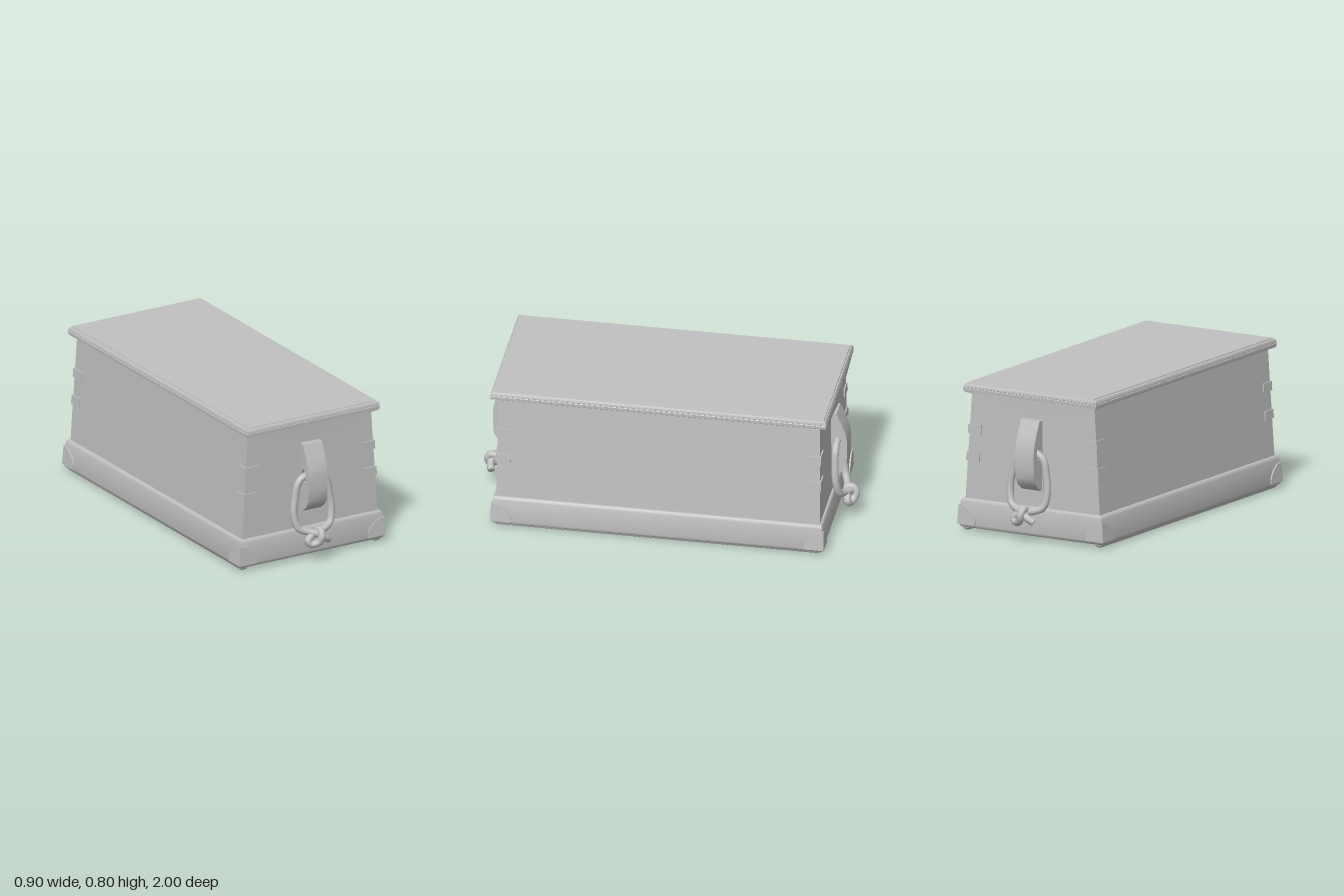
import * as THREE from 'three';
import { toCreasedNormals } from 'three/addons/utils/BufferGeometryUtils.js';

const grey = new THREE.MeshStandardMaterial({ color: 0xc0c0c0 });
grey.name = 'plain grey';

function add(parent, name, geometry) {
  const mesh = new THREE.Mesh(geometry, grey);
  mesh.name = name;
  parent.add(mesh);
  return mesh;
}

// Stack of rectangles [y, half width, half depth], capped at both ends
function loft(sections) {
  const pos = [];
  const corners = ([y, x, z]) => [[-x, y, z], [x, y, z], [x, y, -z], [-x, y, -z]];
  const quad = (a, b, c, d) => pos.push(...a, ...b, ...c, ...a, ...c, ...d);
  for (let i = 0; i < sections.length - 1; i++) {
    const lo = corners(sections[i]), hi = corners(sections[i + 1]);
    for (let k = 0; k < 4; k++) {
      const n = (k + 1) % 4;
      quad(lo[k], lo[n], hi[n], hi[k]);
    }
  }
  const b = corners(sections[0]), t = corners(sections[sections.length - 1]);
  quad(b[3], b[2], b[1], b[0]);
  quad(t[0], t[1], t[2], t[3]);
  const geo = new THREE.BufferGeometry();
  geo.setAttribute('position', new THREE.Float32BufferAttribute(pos, 3));
  geo.computeVertexNormals();
  return toCreasedNormals(geo, 0.6);
}

const shapeOf = (pts) => new THREE.Shape(pts.map(([x, y]) => new THREE.Vector2(x, y)));

// Mirror a non-indexed geometry, keeping its faces turned outward
function mirrored(geometry, sx, sz) {
  const geo = geometry.clone();
  const p = geo.attributes.position;
  for (let i = 0; i < p.count; i++) p.setXYZ(i, p.getX(i) * sx, p.getY(i), p.getZ(i) * sz);
  if (sx * sz < 0) {
    const a = new THREE.Vector3(), b = new THREE.Vector3();
    for (let i = 0; i < p.count; i += 3) {
      a.fromBufferAttribute(p, i + 1);
      b.fromBufferAttribute(p, i + 2);
      p.setXYZ(i + 1, b.x, b.y, b.z);
      p.setXYZ(i + 2, a.x, a.y, a.z);
    }
  }
  geo.computeVertexNormals();
  return geo;
}

// Thin plates folded round all four corners; outline is [distance from corner, y]
function cornerPlates(parent, name, outline, halfX, halfZ, lift) {
  const options = { depth: 0.0095, bevelEnabled: false };
  const end = new THREE.ExtrudeGeometry(shapeOf(outline.map(([u, y]) => [-u, y])), options);
  const side = new THREE.ExtrudeGeometry(shapeOf(outline), options);
  const ep = end.attributes.position, sp = side.attributes.position;
  for (let i = 0; i < ep.count; i++) {
    const y = ep.getY(i);
    ep.setXYZ(i, halfX(y) + lift + ep.getX(i), y, halfZ(y) + lift + ep.getZ(i) - options.depth);
  }
  for (let i = 0; i < sp.count; i++) {
    const y = sp.getY(i);
    sp.setXYZ(i, halfX(y) + lift + sp.getZ(i) - options.depth, y, halfZ(y) + lift - sp.getX(i));
  }
  for (const sx of [1, -1]) for (const sz of [1, -1]) {
    add(parent, name + 'End', mirrored(end, sx, sz));
    add(parent, name + 'Side', mirrored(side, sx, sz));
  }
}

function makeHandle() {
  const handle = new THREE.Group();
  handle.name = 'ropeHandle';

  // Wooden cleat, drawn as (z, y) and extruded across the width
  const profile = shapeOf([[0.85, 0.265], [0.875, 0.265], [0.915, 0.295], [0.937, 0.335], [0.942, 0.40],
    [0.942, 0.47], [0.935, 0.515], [0.915, 0.57], [0.885, 0.64], [0.85, 0.64]]);
  const hole = new THREE.Path();
  hole.absellipse(0.889, 0.465, 0.022, 0.036, 0, Math.PI * 2, true, 0);
  profile.holes.push(hole);
  const cleat = new THREE.ExtrudeGeometry(profile, { depth: 0.115, bevelEnabled: false, curveSegments: 8 });
  cleat.rotateY(-Math.PI / 2).translate(0.0575, 0, 0);
  add(handle, 'cleat', toCreasedNormals(cleat, 0.7));

  // Rope loop with its knot in one strand
  const path = [
    [0.062, 0.109, 0.95], [0.03, 0.129, 0.96], [-0.005, 0.152, 0.952], [-0.05, 0.163, 0.925],
    [-0.098, 0.185, 0.908], [-0.119, 0.26, 0.893], [-0.108, 0.35, 0.886], [-0.088, 0.43, 0.885],
    [-0.05, 0.46, 0.885], [0.05, 0.46, 0.885], [0.083, 0.43, 0.885], [0.1, 0.35, 0.886],
    [0.11, 0.26, 0.893], [0.092, 0.185, 0.908], [0.045, 0.163, 0.925], [0, 0.152, 0.928],
    [-0.045, 0.14, 0.94], [-0.064, 0.118, 0.945], [-0.045, 0.1, 0.952], [-0.01, 0.115, 0.972],
    [0, 0.145, 0.981], [0.004, 0.172, 0.962], [0.004, 0.168, 0.925],
  ].map((p) => new THREE.Vector3(...p));
  const curve = new THREE.CatmullRomCurve3(path);
  add(handle, 'rope', new THREE.TubeGeometry(curve, 130, 0.0195, 10));

  // Flat cut ends of the strand
  for (const t of [0, 1]) {
    const cut = add(handle, 'ropeEnd', new THREE.CircleGeometry(0.0195, 10));
    const outward = curve.getTangentAt(t).multiplyScalar(t ? 1 : -1);
    cut.position.copy(curve.getPointAt(t));
    cut.quaternion.setFromUnitVectors(new THREE.Vector3(0, 0, 1), outward);
  }
  return handle;
}

export function createModel() {
  const chest = new THREE.Group();
  chest.name = 'chest';

  // Tapered box
  const bodyX = (y) => 0.415 - (y - 0.17) * 0.064;
  const bodyZ = (y) => 0.86 - (y - 0.17) * 0.01;
  add(chest, 'body', loft([[0.15, bodyX(0.15), bodyZ(0.15)], [0.76, bodyX(0.76), bodyZ(0.76)]]));

  // Skirt round the foot of the box, with a shallow recess underneath
  const baseX = (y) => 0.444 - (y - 0.03) * 0.07;
  const baseZ = (y) => 0.88 - (y - 0.03) * 0.03;
  add(chest, 'baseSkirt', loft([[0.034, 0.4, 0.838], [0.02, 0.404, 0.842], [0.017, 0.41, 0.848],
    [0.017, 0.434, 0.87], [0.024, 0.441, 0.877], [0.036, baseX(0.036), baseZ(0.036)],
    [0.155, baseX(0.155), baseZ(0.155)], [0.166, 0.431, 0.873], [0.172, 0.424, 0.868]]));

  // Runners under the long sides
  for (const s of [1, -1]) {
    const runner = loft([[0, 0.01, 0.855], [0.004, 0.015, 0.862], [0.01, 0.018, 0.865], [0.03, 0.019, 0.866]]);
    add(chest, 'runner', runner).position.x = s * 0.408;
  }

  // Lid: rounded rim below a rounded top board
  add(chest, 'lidRim', loft([[0.745, 0.402, 0.884], [0.75, 0.409, 0.891], [0.766, 0.41, 0.892],
    [0.769, 0.407, 0.889]]));
  add(chest, 'lidTop', loft([[0.768, 0.406, 0.888], [0.771, 0.409, 0.892], [0.783, 0.408, 0.891],
    [0.79, 0.403, 0.886], [0.791, 0.392, 0.88], [0.797, 0.39, 0.878]]));

  // Pointed trim under the lid, at both ends
  const trim = new THREE.ExtrudeGeometry(shapeOf([[-0.405, 0.76], [-0.405, 0.747], [-0.2, 0.714],
    [-0.03, 0.687], [0, 0.684], [0.03, 0.687], [0.2, 0.714], [0.405, 0.747], [0.405, 0.76]]),
  { depth: 0.04, bevelEnabled: false });
  for (const turn of [0, Math.PI]) {
    const end = new THREE.Group();
    end.name = turn ? 'backEnd' : 'frontEnd';
    end.rotation.y = turn;
    add(end, 'lidTrim', toCreasedNormals(trim, 0.5)).position.z = 0.85;
    end.add(makeHandle());
    chest.add(end);
  }

  // Corner guards and straps
  cornerPlates(chest, 'cornerGuard', [[0, 0.034], [0.108, 0.034], [0.108, 0.06], [0.095, 0.085],
    [0.07, 0.11], [0.04, 0.13], [0, 0.138]], baseX, baseZ, 0.007);
  for (const y of [0.372, 0.52]) {
    cornerPlates(chest, 'cornerStrap', [[0, y], [0.08, y], [0.08, y + 0.048], [0, y + 0.048]], bodyX, bodyZ, 0.007);
  }
  return chest;
}
